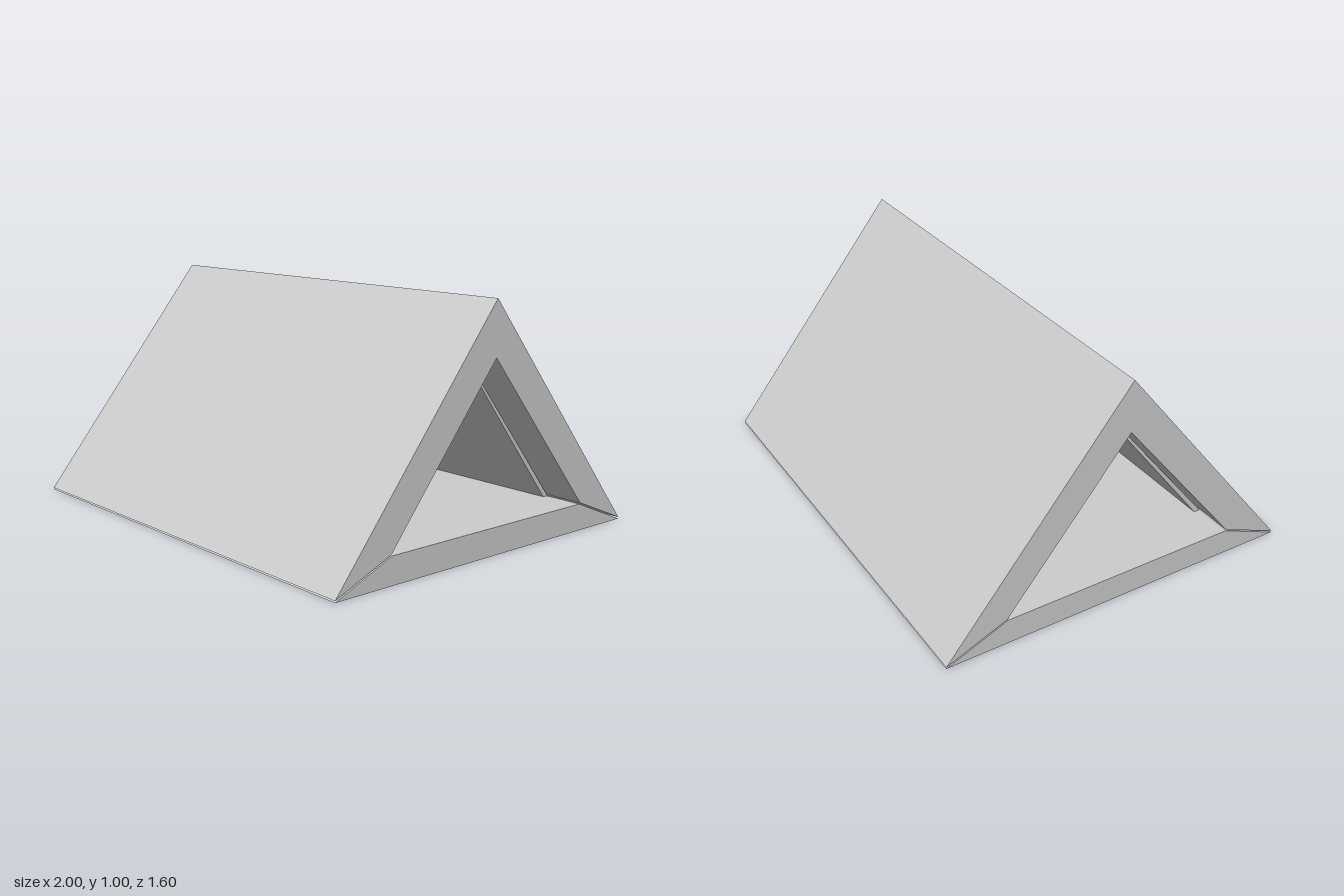
import * as THREE from 'three';

const material = new THREE.MeshStandardMaterial({ color: 0xcccccc, flatShading: true });

// Prism along x, centred, from a cross-section of [z, y] points
function prism(name, points, length) {
  const shape = new THREE.Shape(points.map(([z, y]) => new THREE.Vector2(-z, y)));
  const geometry = new THREE.ExtrudeGeometry(shape, { depth: length, bevelEnabled: false });
  geometry.translate(0, 0, -length / 2);
  geometry.rotateY(Math.PI / 2);
  const mesh = new THREE.Mesh(geometry, material);
  mesh.name = name;
  return mesh;
}

export function createModel() {
  const group = new THREE.Group();
  group.name = 'triangularTube';

  // Base panel with mitred long edges
  group.add(prism('basePanel', [[-0.8, 0], [0.8, 0], [0.53, 0.113], [-0.53, 0.113]], 2));

  for (const [side, s] of [['front', 1], ['back', -1]]) {
    const mirror = (points) => points.map(([z, y]) => [z * s, y]);

    // Sloped panel, mitred at the ridge, a hair above the base panel
    group.add(prism(side + 'SlopePanel',
      mirror([[0.8, 0.007], [0, 1], [0, 0.775], [0.535, 0.117]]), 2));

    // Thin tapering liner, set back from both open ends
    group.add(prism(side + 'Liner',
      mirror([[0.533, 0.113], [0, 0.777], [0, 0.763], [0.505, 0.113]]), 1.66));
  }
  return group;
}
